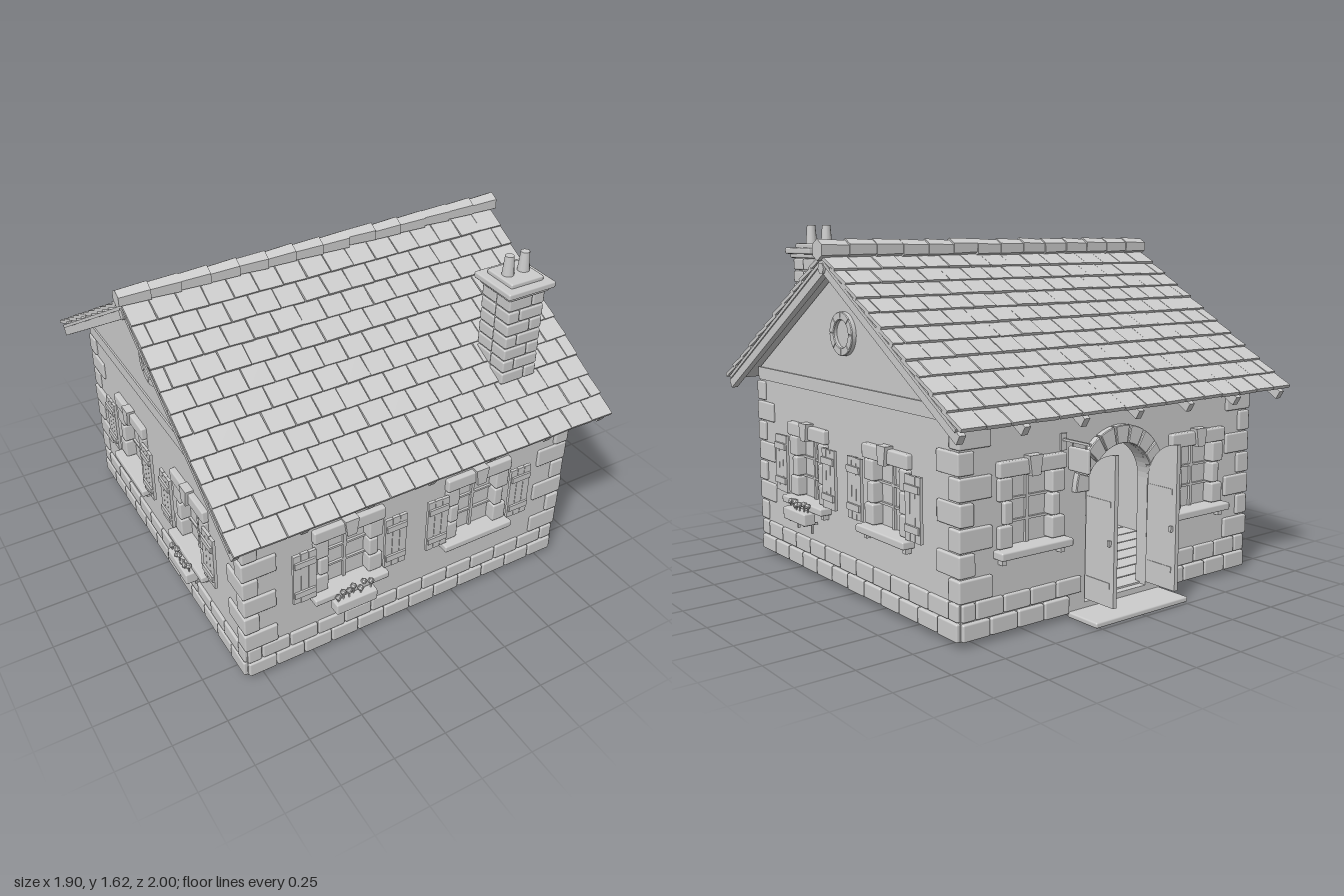
import * as THREE from 'three';
import { RoundedBoxGeometry } from 'three/addons/geometries/RoundedBoxGeometry.js';

const stone = new THREE.MeshStandardMaterial({ color: 0xcccccc });
stone.name = 'plain grey';

let seed = 7;
const jitter = (a) => {
  seed = (seed * 16807) % 2147483647;
  return (seed / 2147483647 - 0.5) * 2 * a;
};

const HX = 0.825, HZ = 0.83; // wall half sizes
const EAVE = 0.93, APEX = 1.45;
const WIN = { w: 0.11, y0: 0.36, y1: 0.645 };
const DOOR = { r: 0.18, spring: 0.53, y0: 0.05 };

function add(parent, name, geo, x = 0, y = 0, z = 0) {
  const m = new THREE.Mesh(geo, stone);
  m.name = name;
  m.position.set(x, y, z);
  parent.add(m);
  return m;
}
const box = (p, name, w, h, d, x, y, z) => add(p, name, new THREE.BoxGeometry(w, h, d), x, y, z);
const block = (p, name, w, h, d, x, y, z) => add(p, name, new RoundedBoxGeometry(w, h, d, 1, 0.008), x, y, z);
function group(parent, name, x = 0, y = 0, z = 0) {
  const g = new THREE.Group();
  g.name = name;
  g.position.set(x, y, z);
  parent.add(g);
  return g;
}
function extrude(shape, depth) {
  return new THREE.ExtrudeGeometry(shape, { depth, bevelEnabled: false, curveSegments: 12 });
}

// Wedge stones set along an arc
function arcStones(parent, name, n, r0, r1, a0, a1, x, y, z, depth) {
  const step = (a1 - a0) / n, gap = 0.03;
  for (let i = 0; i < n; i++) {
    const s = a0 + i * step + gap, e = a0 + (i + 1) * step - gap;
    const shape = new THREE.Shape();
    shape.absarc(0, 0, r1, s, e, false);
    shape.absarc(0, 0, r0, e, s, true);
    const geo = new THREE.ExtrudeGeometry(shape, {
      depth, curveSegments: 3, bevelSize: 0.003, bevelThickness: 0.004, bevelSegments: 1,
    });
    add(parent, name, geo, x, y, z);
  }
}

// Window with stone surround, sill, glazing bars, optional shutters and flower box
function windowUnit(wall, x, shutters, flowers) {
  const g = group(wall, 'window', x), { w, y0, y1 } = WIN, mid = (y0 + y1) / 2, h = y1 - y0;
  box(g, 'windowPane', 2 * w + 0.02, h + 0.02, 0.008, 0, mid, -0.035);
  box(g, 'glazingBar', 0.014, h, 0.014, 0, mid, -0.026);
  for (const t of [-0.16, 0.16]) box(g, 'glazingBar', 2 * w, 0.01, 0.012, 0, mid + t * h, -0.026);
  for (const s of [-1, 1]) {
    for (let i = 0; i < 3; i++) {
      const jw = i === 1 ? 0.045 : 0.07;
      block(g, 'jambStone', jw, h / 3 - 0.004, 0.06, s * (0.1 + jw / 2), y0 + (i + 0.5) * h / 3, -0.01);
    }
    block(g, 'lintelStone', 0.155, 0.064, 0.055, s * 0.096, y1 + 0.033, 0);
    box(g, 'sillBracket', 0.022, 0.026, 0.03, s * 0.15, 0.313, 0.013);
    if (shutters) {
      const sh = group(g, 'shutter', s * 0.225, 0, 0.028);
      for (const k of [-1, 0, 1]) box(sh, 'shutterPlank', 0.035, 0.27 + jitter(0.004), 0.014, k * 0.037, 0.502, 0);
      for (const yy of [0.42, 0.585]) box(sh, 'shutterBatten', 0.1, 0.03, 0.01, 0, yy, 0.011);
    }
  }
  const key = new THREE.Shape([[-0.022, 0.64], [0.022, 0.64], [0.034, 0.722], [-0.034, 0.722]]
    .map((p) => new THREE.Vector2(...p)));
  add(g, 'keystone', extrude(key, 0.04));
  block(g, 'windowSill', 0.37, 0.035, 0.085, 0, 0.343, 0.015);
  if (!flowers) return;
  // Flower box on two brackets
  block(g, 'flowerBox', 0.205, 0.058, 0.06, 0, 0.297, 0.066);
  for (const s of [-1, 1]) {
    box(g, 'flowerBoxBracket', 0.01, 0.05, 0.01, s * 0.066, 0.245, 0.035);
    box(g, 'flowerBoxBracket', 0.01, 0.01, 0.07, s * 0.066, 0.265, 0.045);
  }
  for (let i = 0; i < 7; i++) {
    const fx = -0.084 + i * 0.028, fy = 0.355 + jitter(0.015), fz = 0.066 + jitter(0.015);
    add(g, 'flowerStem', new THREE.CylinderGeometry(0.004, 0.004, 0.06, 5), fx, fy - 0.025, fz);
    add(g, 'flowerHead', new THREE.IcosahedronGeometry(0.015, 0), fx, fy, fz);
  }
}

// Wall in its own frame: faces +z, holes cut for openings
function wall(house, name, angle, half, dist, { gable, windows, shutters, flowerAt, door }) {
  const g = group(house, name, Math.sin(angle) * dist, 0, Math.cos(angle) * dist);
  g.rotation.y = angle;
  const s = new THREE.Shape();
  s.moveTo(-half, 0.025).lineTo(half, 0.025).lineTo(half, EAVE);
  if (gable) s.lineTo(0, APEX);
  s.lineTo(-half, EAVE);
  for (const x of windows) {
    const { w, y0, y1 } = WIN;
    s.holes.push(new THREE.Path([[x - w, y0], [x - w, y1], [x + w, y1], [x + w, y0]]
      .map((p) => new THREE.Vector2(...p))));
    windowUnit(g, x, shutters, x === flowerAt);
  }
  if (door) {
    const p = new THREE.Path();
    p.moveTo(-DOOR.r, DOOR.y0).lineTo(DOOR.r, DOOR.y0);
    p.absarc(0, DOOR.spring, DOOR.r, 0, Math.PI, false);
    s.holes.push(p);
  }
  add(g, 'wallFace', extrude(s, 0.06), 0, 0, -0.06);
  // Two courses of plinth stones
  for (let row = 0; row < 2; row++) {
    const n = 12, pitch = 2 * half / n;
    for (let i = 0; i <= n; i++) {
      const a = Math.max(-half, -half + (i - row * 0.5) * pitch), b = Math.min(half, -half + (i + 1 - row * 0.5) * pitch);
      const c = (a + b) / 2;
      if (b - a < 0.02 || (door && Math.abs(c) < DOOR.r + 0.03)) continue;
      block(g, 'plinthStone', b - a - 0.005, 0.073 + jitter(0.003), 0.05, c, 0.06 + row * 0.077, -0.008 - row * 0.004);
    }
  }
  if (gable) {
    box(g, 'gableBeam', 2 * half, 0.06, 0.012, 0, 0.905, 0.002);
    arcStones(g, 'roundWindowStone', 8, 0.063, 0.092, 0, Math.PI * 2, 0, 1.155, 0, 0.018);
    const pane = add(g, 'roundWindowPane', new THREE.CylinderGeometry(0.064, 0.064, 0.006, 24), 0, 1.155, 0.001);
    pane.rotation.x = Math.PI / 2;
  }
  return g;
}

// Arched doorway with two open leaves, step and hanging sign
function doorway(g) {
  arcStones(g, 'archStone', 9, DOOR.r + 0.003, 0.255, 0, Math.PI, 0, DOOR.spring, -0.02, 0.045);
  block(g, 'doorStep', 0.54, 0.025, 0.18, 0, 0.0125, 0.08);
  const leaf = new THREE.Shape();
  leaf.moveTo(0, 0.07).lineTo(0.172, 0.07).lineTo(0.172, 0.705);
  leaf.absarc(0.18, DOOR.spring, 0.175, Math.PI / 2 + 0.05, Math.PI, false);
  for (const s of [-1, 1]) {
    const d = group(g, 'doorLeaf', s * DOOR.r, 0, 0.008);
    const m = add(d, 'doorPanel', extrude(leaf, 0.02), 0.01, 0, 0);
    m.rotation.y = -Math.PI / 2;
    for (const y of [0.16, 0.5]) box(d, 'doorStrap', 0.026, 0.025, 0.14, 0, y, 0.08);
    box(d, 'doorHandle', 0.045, 0.025, 0.012, 0, 0.34, 0.15);
  }
  const sign = group(g, 'hangingSign', -0.31);
  box(sign, 'signArm', 0.012, 0.01, 0.165, 0, 0.76, 0.08);
  box(sign, 'signPlate', 0.03, 0.07, 0.01, 0, 0.75, 0.003);
  block(sign, 'signBoard', 0.02, 0.1, 0.12, 0, 0.69, 0.1);
  for (const z of [0.06, 0.14]) box(sign, 'signHanger', 0.005, 0.025, 0.005, 0, 0.75, z);
}

// One roof slope: sheathing, rafters and overlapping shingles
function roofSlope(house, turn) {
  const pivot = group(house, 'roofSlope', 0, 1.475, 0);
  pivot.rotation.set(Math.atan(0.62), turn, 0, 'YXZ');
  const len = 1.14, rows = 11, cols = 16, pitch = len / rows;
  box(pivot, 'roofSheathing', 1.86, 0.015, len - 0.02, 0, -0.008, len / 2 - 0.01);
  for (let i = 0; i < 7; i++) box(pivot, 'rafter', 0.03, 0.042, len, (i - 3) * 0.303, -0.033, len / 2 + 0.005);
  for (let r = 0; r < rows; r++) {
    const start = r % 2 ? -0.06 : 0, n = cols + (r % 2);
    for (let c = 0; c < n; c++) {
      const x0 = Math.max(-0.935, -0.935 + start + c * 0.1169), x1 = Math.min(0.935, -0.935 + start + (c + 1) * 0.1169);
      const l = 0.13 + jitter(0.008);
      const t = box(pivot, 'shingle', x1 - x0 - 0.004, 0.016, l, (x0 + x1) / 2, 0.013 + jitter(0.002), (r + 1) * pitch - l / 2 + 0.012);
      t.rotation.set(-0.09, jitter(0.025), jitter(0.012));
    }
  }
}

function chimney(house) {
  const g = group(house, 'chimney', 0.58, 0, 0.652);
  box(g, 'chimneyCore', 0.17, 0.5, 0.17, 0, 1.22, 0);
  for (let r = 0; r < 7; r++) {
    const y = 1.07 + r * 0.0605, off = r % 2 ? 0.03 : -0.03;
    for (const s of [-1, 1]) {
      const w = 0.0945 + s * off;
      for (const f of [-1, 1]) block(g, 'chimneyBrick', w - 0.004, 0.055, 0.094, s * (0.0945 - w / 2), y, f * 0.048);
    }
  }
  block(g, 'chimneyCap', 0.21, 0.025, 0.21, 0, 1.475, 0);
  block(g, 'chimneyCap', 0.245, 0.03, 0.245, 0, 1.497, 0);
  block(g, 'chimneyCap', 0.17, 0.025, 0.17, 0, 1.52, 0);
  for (const s of [-1, 1]) add(g, 'chimneyPot', new THREE.CylinderGeometry(0.02, 0.028, 0.1, 12), s * 0.041, 1.57, 0);
}

export function createModel() {
  seed = 7;
  const model = new THREE.Group();
  model.name = 'cottage';
  const house = group(model, 'house', 0, 0, 0.013);
  const wins = [-0.335, 0.335];

  wall(house, 'frontWall', 0, HX, HZ, { windows: wins, shutters: true, flowerAt: -0.335 });
  wall(house, 'leftWall', Math.PI / 2, HZ, HX, { gable: true, windows: wins, shutters: true, flowerAt: -0.335 });
  wall(house, 'rightWall', -Math.PI / 2, HZ, HX, { gable: true, windows: wins, shutters: true, flowerAt: 0.335 });
  doorway(wall(house, 'backWall', Math.PI, HX, HZ, { windows: [-0.48, 0.48], door: true }));

  // Base slab and floor planks
  box(house, 'baseSlab', 2 * HX, 0.02, 2 * HZ, 0, 0.033, 0);
  for (let i = 0; i < 16; i++) box(house, 'floorPlank', 1.55, 0.015, 0.093, 0, 0.05, -0.75 + i * 0.1);

  // Corner stones alternate direction up each corner
  for (const sx of [-1, 1]) for (const sz of [-1, 1]) for (let i = 0; i < 7; i++) {
    const wide = i % 2 === 0, w = wide ? 0.16 : 0.075, d = wide ? 0.075 : 0.155;
    block(house, 'cornerStone', w + jitter(0.006), 0.092, d + jitter(0.006),
      sx * (HX + 0.013 - w / 2), 0.224 + i * 0.0995, sz * (HZ + 0.013 - d / 2));
  }

  // Roof, ridge tiles and ridge pole
  roofSlope(house, 0);
  roofSlope(house, Math.PI);
  for (let i = 0; i < 14; i++) {
    const t = add(house, 'ridgeTile', new THREE.CylinderGeometry(0.04, 0.046, 0.14, 6, 1, false, Math.PI / 6).toNonIndexed(),
      -0.88 + i * 0.1354, 1.513 + jitter(0.003), 0);
    t.geometry.computeVertexNormals();
    t.rotation.z = Math.PI / 2 + jitter(0.02);
  }
  const pole = add(house, 'ridgePole', new THREE.CylinderGeometry(0.025, 0.025, 1.87, 6), 0, 1.435, 0);
  pole.rotation.z = Math.PI / 2;
  chimney(house);
  return model;
}
